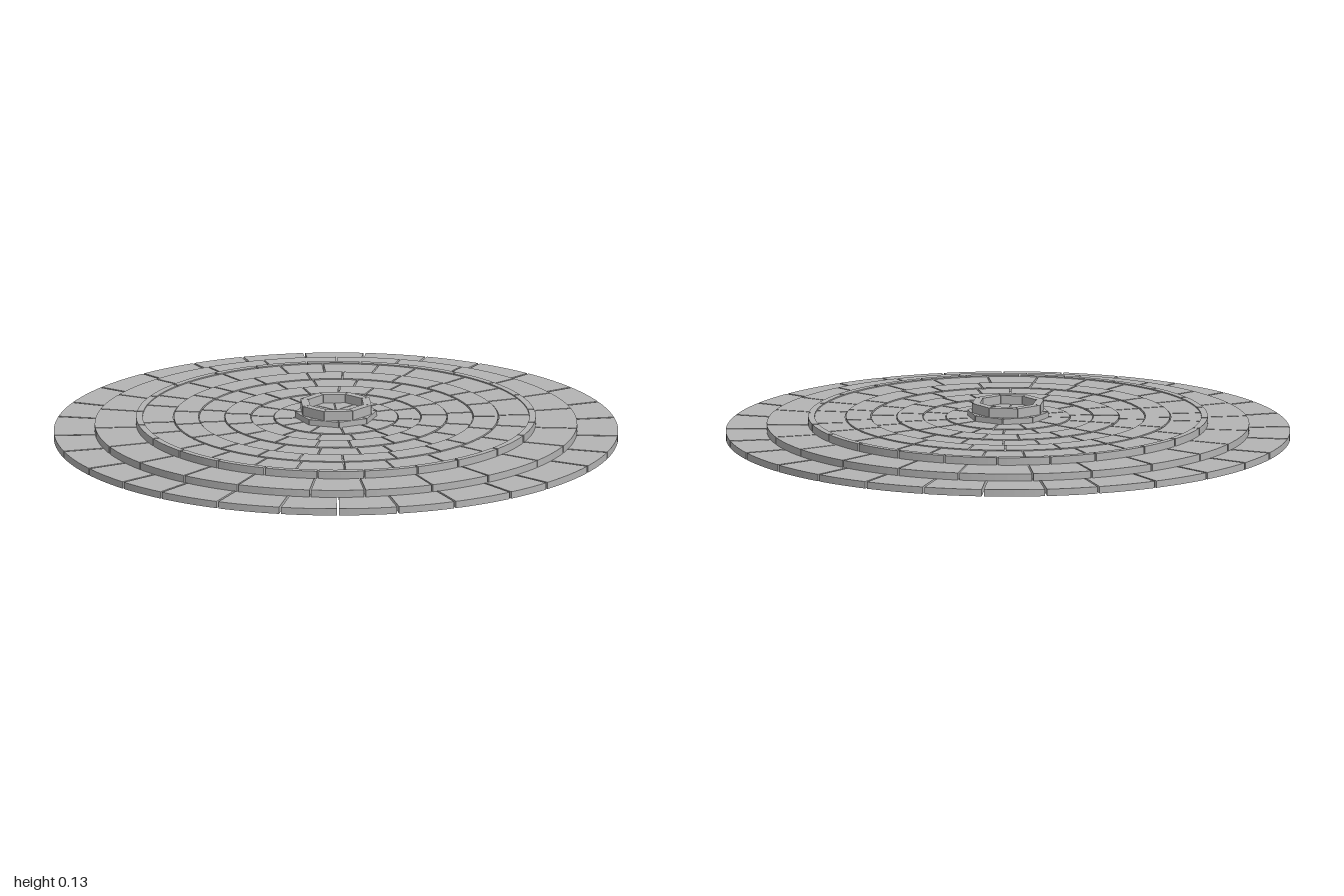
import * as THREE from 'three';
import { mergeGeometries } from 'three/addons/utils/BufferGeometryUtils.js';

const stone = new THREE.MeshStandardMaterial({ color: 0xb4b4b4 });
stone.name = 'grey stone';

// Small seeded generator for uneven joints
let seed = 7;
const rand = () => {
  seed = (seed * 16807) % 2147483647;
  return seed / 2147483647;
};

// One paving block: a sector between two radii with parallel joints
function block(ri, ro, y0, y1, a0, a1, gap, steps) {
  const pts = [];
  const arc = (r, from, to) => {
    for (let i = 0; i <= steps; i++) {
      const a = from + ((to - from) * i) / steps;
      pts.push(new THREE.Vector2(r * Math.cos(a), r * Math.sin(a)));
    }
  };
  const go = gap / 2 / ro, gi = gap / 2 / ri;
  arc(ro, a0 + go, a1 - go);
  arc(ri, a1 - gi, a0 + gi);
  const geo = new THREE.ExtrudeGeometry(new THREE.Shape(pts), { depth: y1 - y0, bevelEnabled: false });
  geo.rotateX(-Math.PI / 2);
  geo.translate(0, y0, 0);
  return geo;
}

// A full ring of blocks merged into one mesh
function ring(name, { ri, ro, y0, y1, n, gap = 0.006, turn = 0, jitter = 0, steps = 6 }) {
  const step = (Math.PI * 2) / n;
  const joints = [];
  for (let i = 0; i < n; i++) joints.push((i + turn + (rand() - 0.5) * jitter) * step);
  joints.push(joints[0] + Math.PI * 2);
  const blocks = [];
  for (let i = 0; i < n; i++) blocks.push(block(ri, ro, y0, y1, joints[i], joints[i + 1], gap, steps));
  const mesh = new THREE.Mesh(mergeGeometries(blocks), stone);
  mesh.name = name;
  return mesh;
}

export function createModel() {
  const model = new THREE.Group();
  model.name = 'roundStonePlatform';
  const add = (name, spec) => model.add(ring(name, spec));

  // Stepped rim
  add('lowerStep', { ri: 0.68, ro: 1, y0: 0, y1: 0.025, n: 29, turn: 0.05, jitter: 0.2, gap: 0.008 });
  add('middleStep', { ri: 0.68, ro: 0.855, y0: 0.025, y1: 0.051, n: 23, turn: 0.4, jitter: 0.2 });
  add('upperCurb', { ri: 0.685, ro: 0.708, y0: 0.051, y1: 0.078, n: 24, turn: 0.3, jitter: 0.2 });

  // Foundation slabs under the floor, parted by open joints
  add('outerFoundation', { ri: 0.4, ro: 0.57, y0: 0.042, y1: 0.062, n: 16, turn: 0.5 });
  add('innerFoundation', { ri: 0.23, ro: 0.385, y0: 0.042, y1: 0.062, n: 8, gap: 0.018 });
  add('coreFoundation', { ri: 0.006, ro: 0.215, y0: 0.042, y1: 0.062, n: 8, gap: 0.004 });

  // Paved floor: inner radius, outer radius, top, block count
  const floor = [
    [0.577, 0.685, 0.074, 24],
    [0.487, 0.574, 0.077, 21],
    [0.396, 0.484, 0.074, 20],
    [0.303, 0.393, 0.077, 17],
    [0.222, 0.3, 0.074, 14],
    [0.12, 0.219, 0.077, 11],
  ];
  floor.forEach(([ri, ro, y1, n], i) =>
    add('floorRing' + (i + 1), { ri, ro, y0: i ? 0.06 : 0.05, y1, n, turn: i * 0.37, jitter: 0.3 }));

  // Octagonal pedestal with a sunken middle
  add('pedestalBase', { ri: 0.1, ro: 0.145, y0: 0.07, y1: 0.097, n: 8, gap: 0.003, steps: 1 });
  add('pedestalRim', { ri: 0.102, ro: 0.132, y0: 0.097, y1: 0.131, n: 8, turn: 0.5, gap: 0.002, steps: 1 });
  add('pedestalCentre', { ri: 0.006, ro: 0.112, y0: 0.062, y1: 0.1, n: 8, gap: 0.004, steps: 1 });

  return model;
}
